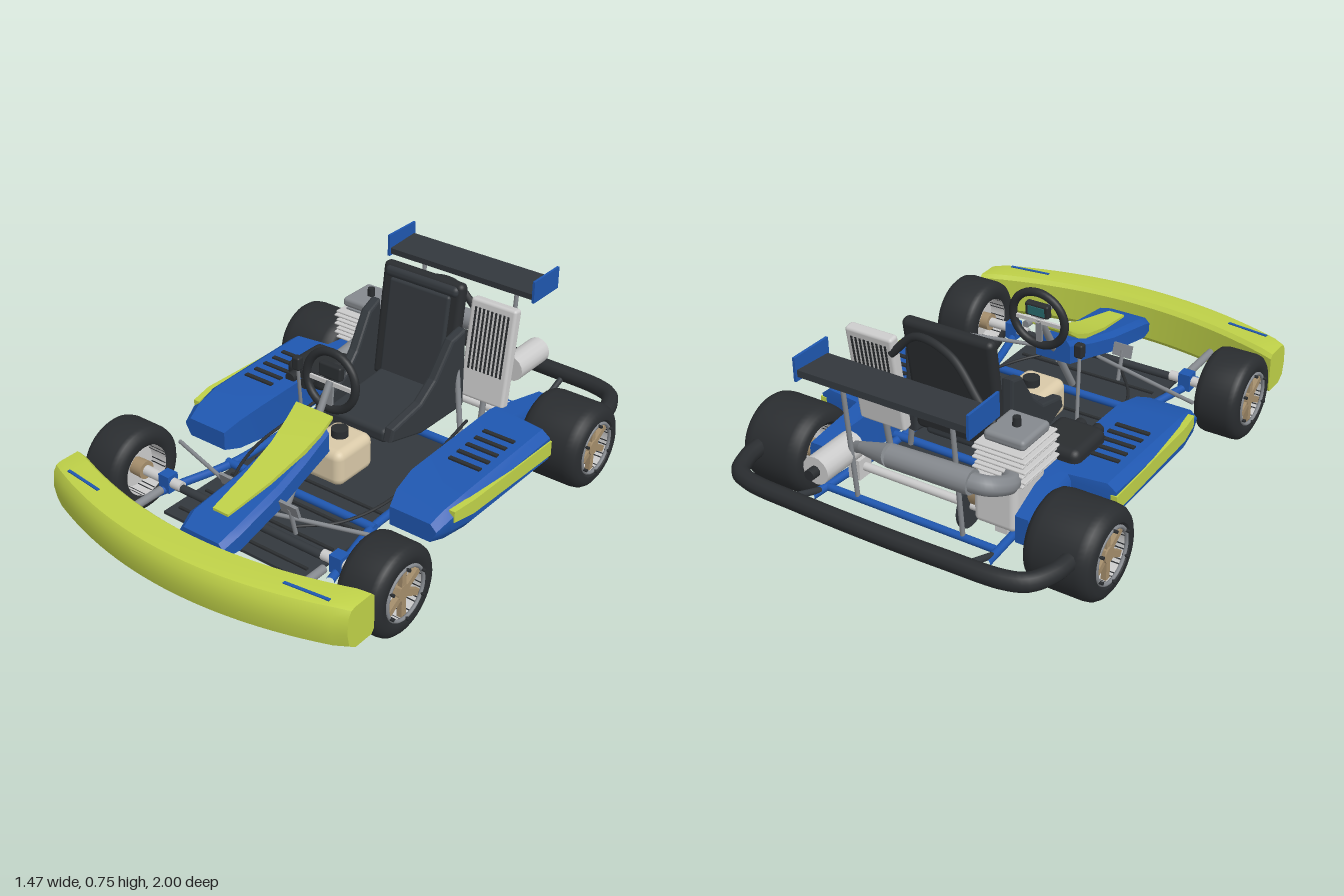
import * as THREE from 'three';
import { toCreasedNormals } from 'three/addons/utils/BufferGeometryUtils.js';
import { RoundedBoxGeometry } from 'three/addons/geometries/RoundedBoxGeometry.js';

const mat = (color, side = THREE.FrontSide) => new THREE.MeshStandardMaterial({ color, side });
const V = (p) => new THREE.Vector3(...p);

export function createModel() {
  const root = new THREE.Group();
  const blue = mat(0x1f57b0), lime = mat(0xbfd148), dark = mat(0x33383d), black = mat(0x2a2d30);
  const grey = mat(0xcccccc), steel = mat(0x85898e), tan = mat(0xa58e6c), cream = mat(0xd9c9a8);
  const rimGrey = mat(0xcccccc, THREE.DoubleSide);

  const add = (name, geo, material, pos = [0, 0, 0], rot = [0, 0, 0], parent = root) => {
    const m = new THREE.Mesh(geo, material);
    m.name = name;
    m.position.set(...pos);
    m.rotation.set(...rot);
    parent.add(m);
    return m;
  };
  const box = (name, size, material, pos, rot, parent) => add(name, new THREE.BoxGeometry(...size), material, pos, rot, parent);
  const rbox = (name, size, r, material, pos, rot, parent) =>
    add(name, new RoundedBoxGeometry(...size, 3, r), material, pos, rot, parent);
  const tube = (name, pts, r, material, seg = 32) =>
    add(name, new THREE.TubeGeometry(new THREE.CatmullRomCurve3(pts.map(V), false, 'centripetal'), seg, r, 10), material);
  // straight rod between two points
  const rod = (name, a, b, r, material, r2 = r) => {
    const d = V(b).sub(V(a));
    const m = add(name, new THREE.CylinderGeometry(r2, r, d.length(), 16), material);
    m.position.copy(V(a)).addScaledVector(d, 0.5);
    m.quaternion.setFromUnitVectors(new THREE.Vector3(0, 1, 0), d.normalize());
    return m;
  };
  // closed solid through a row of equal-sized cross-sections
  const loft = (rings, crease = 0.6) => {
    const n = rings[0].length, tri = [];
    for (let i = 0; i + 1 < rings.length; i++) for (let j = 0; j < n; j++) {
      const k = (j + 1) % n, A = rings[i], B = rings[i + 1];
      tri.push([A[j], B[j], B[k]], [A[j], B[k], A[k]]);
    }
    const first = rings[0], last = rings[rings.length - 1];
    for (let j = 1; j < n - 1; j++) tri.push([first[0], first[j], first[j + 1]], [last[0], last[j + 1], last[j]]);
    let vol = 0;
    for (const [a, b, c] of tri) vol += V(a).dot(V(b).cross(V(c)));
    const g = new THREE.BufferGeometry();
    g.setAttribute('position', new THREE.Float32BufferAttribute(tri.flatMap(([a, b, c]) => (vol > 0 ? [a, b, c] : [a, c, b]).flat()), 3));
    return toCreasedNormals(g, crease);
  };
  // outline in (z, y) given thickness along x, centred on x = 0
  const sidePlate = (pts, w, bevel) => {
    const s = new THREE.Shape(pts.map(([z, y]) => new THREE.Vector2(z, y)));
    const g = new THREE.ExtrudeGeometry(s, { depth: w - 2 * bevel, bevelThickness: bevel, bevelSize: bevel, bevelSegments: 2 });
    return g.translate(0, 0, bevel - w / 2).rotateY(-Math.PI / 2);
  };

  // wheels: lathed tyre, open rim barrel, six spokes, hub and studs
  const wheel = (name, s, x, z, w) => {
    const g = new THREE.Group();
    g.name = name;
    g.position.set(s * x, 0.172, z);
    if (s < 0) g.rotation.y = Math.PI;
    const h = w / 2;
    const half = [[0.1, h * 0.9], [0.115, h], [0.138, h], [0.155, h * 0.92], [0.166, h * 0.8], [0.17, h * 0.6]];
    const prof = [...half.map(([r, y]) => [r, -y]), ...half.reverse(), [0.1, -h * 0.9]].map((p) => new THREE.Vector2(...p));
    add('tyre', toCreasedNormals(new THREE.LatheGeometry(prof, 48), 0.7), black, [0, 0, 0], [0, 0, -Math.PI / 2], g);
    add('rimBarrel', new THREE.CylinderGeometry(0.1, 0.1, w * 0.92, 36, 1, true), rimGrey, [0, 0, 0], [0, 0, Math.PI / 2], g);
    add('rimLip', new THREE.TorusGeometry(0.1, 0.007, 8, 36), steel, [h * 0.95, 0, 0], [0, Math.PI / 2, 0], g);
    add('brakeDisc', new THREE.CylinderGeometry(0.085, 0.085, 0.012, 32), grey, [-h * 0.2, 0, 0], [0, 0, Math.PI / 2], g);
    add('hub', new THREE.CylinderGeometry(0.03, 0.036, w * 0.9, 20), tan, [0, 0, 0], [0, 0, -Math.PI / 2], g);
    for (let i = 0; i < 6; i++) {
      const a = (i * Math.PI) / 3, c = Math.cos(a), d = Math.sin(a);
      box('spoke', [0.02, 0.08, 0.024], tan, [h * 0.78, 0.062 * c, 0.062 * d], [a, 0, 0], g);
      add('stud', new THREE.CylinderGeometry(0.006, 0.006, 0.025, 8), black, [h * 0.97 + 0.004, 0.1 * c, 0.1 * d], [0, 0, Math.PI / 2], g);
    }
    root.add(g);
  };

  // curved front bumper
  const bumperRings = [];
  const bumperSection = [[0, 0.13], [0.1, 0.11], [0.7, 0.11], [0.93, 0.135], [1, 0.19], [0.96, 0.255], [0.85, 0.28], [0.7, 0.286], [0.1, 0.286], [0, 0.27]];
  for (let i = 0; i <= 28; i++) {
    const t = -1 + i / 14, e = Math.abs(t) === 1 ? 0.93 : 1;
    const zi = 0.845 - 0.135 * t * t, zo = 1 - 0.14 * t * t;
    bumperRings.push(bumperSection.map(([f, y]) => [0.675 * t, 0.198 + (y - 0.198) * e, zi + (zo - zi) * (0.5 + (f - 0.5) * e)]));
  }
  add('frontBumper', loft(bumperRings), lime);

  // centre fairing with lime top sheet
  const slab = ([z, w, y0, y1]) => [[-w, y0, z], [w, y0, z], [w, y1 - 0.02, z], [w * 0.8, y1, z], [-w * 0.8, y1, z], [-w, y1 - 0.02, z]];
  add('noseFairing', loft([[0.2, 0.075, 0.31, 0.405], [0.35, 0.088, 0.275, 0.355], [0.5, 0.1, 0.235, 0.315], [0.73, 0.115, 0.195, 0.275], [0.8, 0.1, 0.19, 0.245]].map(slab)), blue);
  add('noseTopPanel', loft([[0.19, 0.085, 0.445, 0.457], [0.25, 0.08, 0.4, 0.418], [0.35, 0.068, 0.35, 0.372], [0.5, 0.055, 0.305, 0.328], [0.7, 0.035, 0.26, 0.29]]
    .map(([z, w, a, b]) => [[-w, a, z], [w, a, z], [w, b, z], [-w, b, z]])), lime);

  // floor tray and cross members
  box('floorTray', [0.66, 0.012, 1.02], dark, [0, 0.115, 0.14]);
  for (let i = 0; i < 4; i++) box('trayRib', [0.6, 0.008, 0.012], black, [0, 0.124, 0.6 - i * 0.14]);
  rod('frontCrossTube', [-0.35, 0.14, 0.285], [0.35, 0.14, 0.285], 0.016, blue);
  rod('middleCrossTube', [-0.36, 0.14, -0.34], [0.36, 0.14, -0.34], 0.016, blue);
  rod('rearCrossTube', [-0.36, 0.135, -0.74], [0.36, 0.135, -0.74], 0.014, blue);
  rod('rearAxle', [-0.55, 0.172, -0.61], [0.55, 0.172, -0.61], 0.016, grey);

  for (const s of [1, -1]) {
    wheel(s > 0 ? 'leftFrontWheel' : 'rightFrontWheel', s, 0.592, 0.55, 0.18);
    wheel(s > 0 ? 'leftRearWheel' : 'rightRearWheel', s, 0.592, -0.61, 0.26);

    // frame rails, axle stubs and steering links
    tube('frameRail', [[0.415, 0.14, 0.62], [0.39, 0.14, 0.52], [0.335, 0.135, 0.28], [0.33, 0.13, 0], [0.335, 0.13, -0.35], [0.365, 0.135, -0.82]].map(([x, y, z]) => [s * x, y, z]), 0.016, blue);
    rod('frontAxleBar', [0, 0.165, 0.55], [s * 0.36, 0.165, 0.55], 0.016, dark);
    rod('stubAxle', [s * 0.33, 0.172, 0.55], [s * 0.55, 0.172, 0.55], 0.02, grey);
    box('steeringKnuckle', [0.05, 0.07, 0.05], blue, [s * 0.4, 0.17, 0.55]);
    rod('tieRod', [s * 0.03, 0.19, 0.5], [s * 0.52, 0.2, 0.36], 0.008, steel);
    rod('bumperMount', [s * 0.38, 0.17, 0.61], [s * 0.38, 0.17, 0.84], 0.016, steel);
    rod('pedalArm', [s * 0.14, 0.13, 0.47], [s * 0.14, 0.25, 0.5], 0.008, steel);
    box('pedal', [0.08, 0.05, 0.012], steel, [s * 0.14, 0.25, 0.5], [0.3, 0, 0]);
    box('axleBearing', [0.05, 0.08, 0.07], grey, [s * 0.31, 0.17, -0.61]);
    tube('pedalCable', [[0.28, 0.24, -0.38], [0.3, 0.2, -0.1], [0.31, 0.17, 0.15], [0.25, 0.16, 0.35], [0.15, 0.17, 0.48]].map(([x, y, z]) => [s * x, y, z]), 0.006, black);

    // side pod with stripe and vents
    const pod = [[0.255, 0.39, 0.59, 0.16, 0.235], [0.19, 0.37, 0.607, 0.145, 0.265], [0.08, 0.355, 0.623, 0.14, 0.285], [-0.42, 0.355, 0.623, 0.14, 0.3], [-0.44, 0.36, 0.46, 0.15, 0.3], [-0.7, 0.4, 0.458, 0.16, 0.265]];
    add('sidePod', loft(pod.map(([z, a, b, y0, y1]) => {
      const c = (b - a) * 0.13;
      return [[a, y0], [b - c, y0], [b, y0 + 0.045], [b, y1 - 0.025], [b - c, y1], [a, y1]].map(([x, y]) => [s * x, y, z]);
    })), blue);
    add('sideStripe', loft([[0.18, 0.608, 0.22, 0.265], [0.08, 0.624, 0.215, 0.272], [-0.425, 0.624, 0.2, 0.262]]
      .map(([z, x, a, b]) => [[s * (x - 0.02), a, z], [s * (x + 0.005), a, z], [s * (x + 0.005), b, z], [s * (x - 0.02), b, z]])), lime);
    for (let i = 0; i < 5; i++) box('podVent', [0.135, 0.008, 0.018], black, [s * 0.488, 0.292 + i * 0.0015, -0.06 - i * 0.055]);
    box('bumperSlit', [0.175, 0.005, 0.012], blue, [s * 0.51, 0.287, 0.855], [0, s * 0.12, 0]);

    // seat sides and stays
    add('seatBolster', sidePlate([[-0.04, 0.28], [-0.05, 0.315], [-0.2, 0.36], [-0.28, 0.43], [-0.37, 0.56], [-0.43, 0.58], [-0.43, 0.27], [-0.2, 0.25]], 0.045, 0.01), dark, [s * 0.158, 0, 0], [0, s * -0.1, 0]);
    rod('seatStay', [s * 0.27, 0.14, -0.36], [s * 0.2, 0.48, -0.41], 0.011, steel);

    // wing end plates and struts
    box('wingEndPlate', [0.01, 0.09, 0.175], blue, [s * 0.342, 0.675, -0.79]);
    rod('wingStrut', [s * 0.22, 0.13, -0.74], [s * 0.22, 0.65, -0.79], 0.009, steel);
    rod('rearBumperMount', [s * 0.36, 0.14, -0.78], [s * 0.36, 0.21, -0.96], 0.012, dark);
  }
  box('wing', [0.68, 0.025, 0.16], dark, [0, 0.655, -0.79], [0.06, 0, 0]);

  // rear bumper hoop
  const hoop = [[0.643, 0.215, -0.76], [0.632, 0.215, -0.84], [0.59, 0.215, -0.92], [0.52, 0.215, -0.95], [0.3, 0.215, -0.962]];
  tube('rearBumper', [...hoop, [0, 0.215, -0.967], ...hoop.slice().reverse().map(([x, y, z]) => [-x, y, z])], 0.033, black, 80);

  // seat pan, back and cushion
  rbox('seatPan', [0.29, 0.06, 0.4], 0.02, dark, [0, 0.285, -0.24], [0.06, 0, 0]);
  const back = new THREE.Group();
  back.name = 'seatBack';
  back.position.set(0, 0.515, -0.447);
  back.rotation.x = -0.15;
  root.add(back);
  rbox('backShell', [0.37, 0.47, 0.05], 0.022, black, [0, 0, 0], [0, 0, 0], back);
  rbox('backCushion', [0.28, 0.4, 0.03], 0.012, dark, [0, -0.02, 0.022], [0, 0, 0], back);
  rbox('headRoll', [0.34, 0.045, 0.05], 0.02, dark, [0, 0.2, 0.012], [0, 0, 0], back);

  // steering wheel, display and column
  const steer = new THREE.Group();
  steer.name = 'steeringWheel';
  steer.position.set(0, 0.53, 0.095);
  steer.rotation.x = -0.08;
  root.add(steer);
  add('steeringRim', new THREE.TorusGeometry(0.112, 0.016, 12, 40), black, [0, 0, 0], [0, 0, 0], steer);
  box('crossSpoke', [0.21, 0.016, 0.01], grey, [0, -0.01, 0], [0, 0, 0], steer);
  box('lowerSpoke', [0.025, 0.1, 0.01], steel, [0, -0.06, 0], [0, 0, 0], steer);
  rbox('displayCase', [0.1, 0.055, 0.03], 0.008, black, [0, 0.04, 0], [0, 0, 0], steer);
  box('displayScreen', [0.07, 0.035, 0.004], mat(0x2a6f72), [0, 0.04, -0.016], [0, 0, 0], steer);
  rod('steeringColumn', [0, 0.13, 0.35], [0, 0.53, 0.1], 0.014, steel);

  // fuel tank and gear lever
  rbox('fuelTank', [0.18, 0.15, 0.21], 0.035, cream, [0, 0.2, 0.055]);
  add('tankCap', new THREE.CylinderGeometry(0.033, 0.033, 0.035, 24), black, [0, 0.288, 0.045]);
  rod('gearLever', [-0.24, 0.14, -0.03], [-0.22, 0.49, 0.02], 0.007, steel);
  rbox('gearKnob', [0.035, 0.055, 0.032], 0.008, black, [-0.22, 0.495, 0.02]);

  // engine: crankcase, finned barrel, head, plug and air box
  rbox('crankcase', [0.17, 0.2, 0.2], 0.025, grey, [-0.29, 0.25, -0.56]);
  add('clutchCover', new THREE.CylinderGeometry(0.075, 0.075, 0.04, 28), tan, [-0.195, 0.24, -0.57], [0, 0, Math.PI / 2]);
  box('barrel', [0.14, 0.15, 0.15], steel, [-0.31, 0.4, -0.55]);
  for (let i = 0; i < 7; i++) rbox('coolingFin', [0.19 + 0.02 * (i % 2), 0.009, 0.22], 0.004, grey, [-0.31, 0.35 + i * 0.019, -0.55]);
  rbox('cylinderHead', [0.16, 0.04, 0.17], 0.015, steel, [-0.32, 0.495, -0.56]);
  add('sparkPlug', new THREE.CylinderGeometry(0.014, 0.016, 0.035, 14), black, [-0.32, 0.53, -0.56]);
  rbox('airBox', [0.19, 0.09, 0.21], 0.03, black, [-0.352, 0.3, -0.275]);
  for (const x of [-0.39, -0.32]) rod('intakeTube', [x, 0.3, -0.2], [x, 0.3, -0.13], 0.022, black);
  rod('carburettor', [-0.32, 0.32, -0.36], [-0.31, 0.34, -0.46], 0.03, steel);

  // exhaust chamber and silencer
  tube('exhaustHeader', [[-0.34, 0.36, -0.62], [-0.375, 0.38, -0.7], [-0.35, 0.41, -0.78], [-0.26, 0.415, -0.8]], 0.035, steel);
  rod('exhaustChamber', [-0.3, 0.415, -0.795], [0.02, 0.41, -0.8], 0.045, steel, 0.042);
  rod('exhaustCone', [0.02, 0.41, -0.8], [0.17, 0.37, -0.76], 0.042, steel, 0.022);
  tube('exhaustLink', [[0.16, 0.372, -0.76], [0.22, 0.34, -0.73], [0.26, 0.32, -0.71]], 0.022, steel);
  rod('silencer', [0.265, 0.32, -0.7], [0.265, 0.32, -0.9], 0.053, grey);
  rod('silencerTip', [0.265, 0.32, -0.9], [0.265, 0.32, -0.935], 0.02, black);

  // radiator with vertical slots, and coolant hose
  const rad = new THREE.Group();
  rad.name = 'radiator';
  rad.position.set(0.288, 0.485, -0.505);
  rad.rotation.x = -0.15;
  root.add(rad);
  rbox('radiatorBody', [0.2, 0.4, 0.045], 0.012, grey, [0, 0, 0], [0, 0, 0], rad);
  for (let i = 0; i < 9; i++) box('radiatorSlot', [0.008, 0.25, 0.05], black, [-0.072 + i * 0.018, 0.045, 0], [0, 0, 0], rad);
  rod('radiatorStay', [0.29, 0.14, -0.45], [0.29, 0.32, -0.48], 0.012, steel);
  tube('coolantHose', [[0.2, 0.62, -0.54], [0.1, 0.71, -0.53], [-0.05, 0.68, -0.54], [-0.18, 0.56, -0.57], [-0.26, 0.49, -0.585]], 0.015, black);
  add('axleBrakeDisc', new THREE.CylinderGeometry(0.085, 0.085, 0.01, 32), dark, [-0.165, 0.172, -0.61], [0, 0, Math.PI / 2]);
  return root;
}
